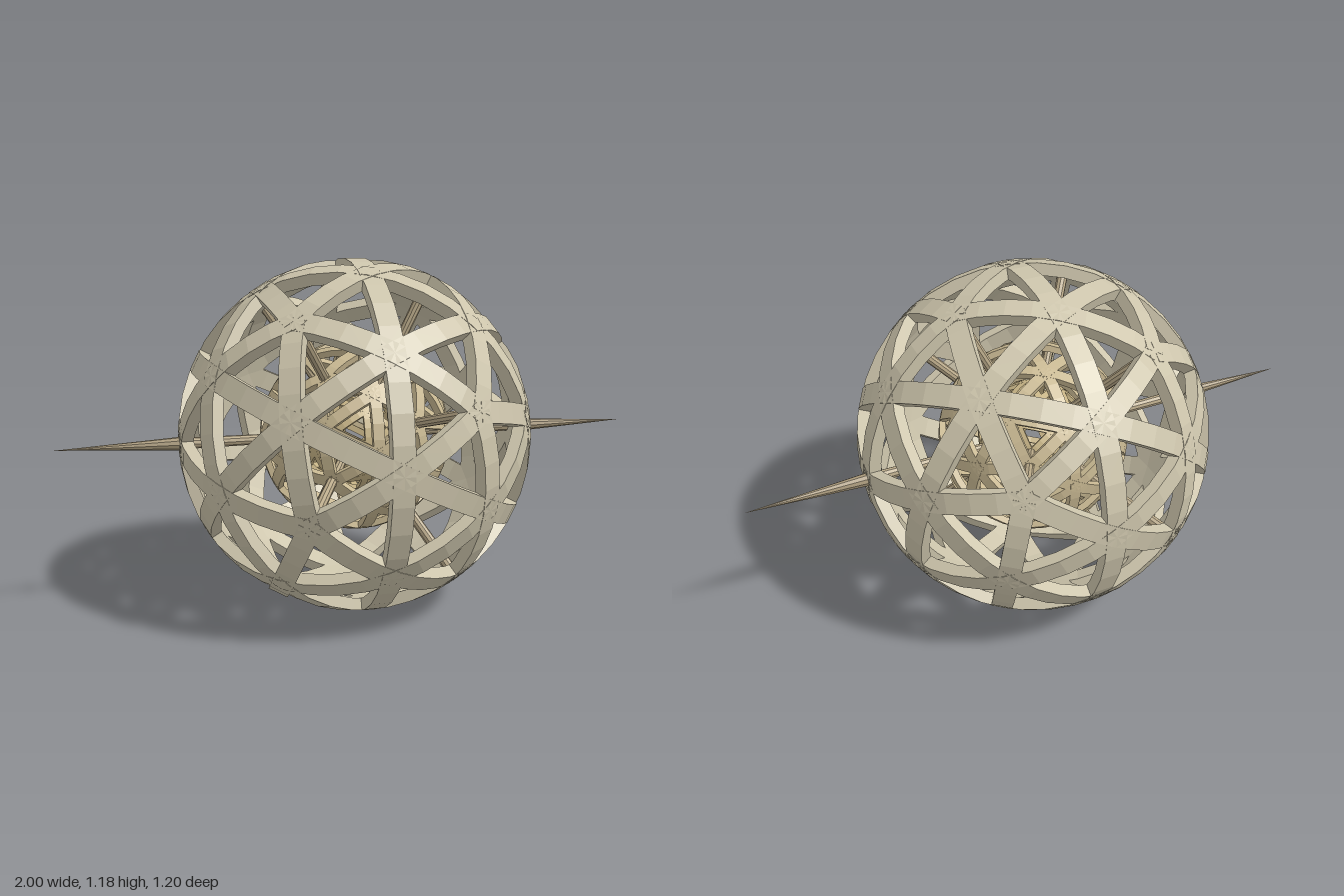
import * as THREE from 'three';
import { mergeGeometries } from 'three/addons/utils/BufferGeometryUtils.js';

const CENTER_Y = 0.578;
const X = new THREE.Vector3(1, 0, 0);

// Twelve icosahedron corners with a five-fold axis along x
function makeCorners() {
  const corners = [X.clone(), X.clone().negate()];
  const c = 1 / Math.sqrt(5), s = 2 / Math.sqrt(5);
  for (let i = 0; i < 5; i++) {
    for (const side of [1, -1]) {
      const a = (i * 2 + (side < 0 ? 1 : 0)) * Math.PI / 5;
      corners.push(new THREE.Vector3(side * c, s * Math.cos(a), s * Math.sin(a)));
    }
  }
  return corners;
}

// Every pair of points closer than the given angle in degrees
function closePairs(points, degrees) {
  const pairs = [];
  points.forEach((a, i) => points.slice(i + 1).forEach((b) => {
    if (a.angleTo(b) < THREE.MathUtils.degToRad(degrees)) pairs.push([a, b]);
  }));
  return pairs;
}

// A box bent along the great circle from a to b
function arcStrut(a, b, radius, width, depth) {
  const geo = new THREE.BoxGeometry(width, depth, 1, 1, 1, 4);
  const pos = geo.attributes.position;
  const axis = a.clone().cross(b).normalize();
  const angle = a.angleTo(b);
  for (let i = 0; i < pos.count; i++) {
    const out = a.clone().applyAxisAngle(axis, (pos.getZ(i) + 0.5) * angle);
    const p = out.multiplyScalar(radius + pos.getY(i) - depth / 2)
      .addScaledVector(axis, pos.getX(i));
    // the base is levelled where it rests on the ground
    pos.setXYZ(i, p.x, Math.max(p.y, -CENTER_Y), p.z);
  }
  geo.computeVertexNormals();
  return geo;
}

// A round bar along a direction, between two distances from the centre
function radialBar(dir, from, to, r0, r1) {
  const geo = new THREE.CylinderGeometry(r1, r0, to - from, 10);
  geo.translate(0, (from + to) / 2, 0);
  geo.applyQuaternion(new THREE.Quaternion().setFromUnitVectors(new THREE.Vector3(0, 1, 0), dir));
  return geo;
}

export function createModel() {
  const group = new THREE.Group();
  const add = (name, parts, color) => {
    const material = new THREE.MeshStandardMaterial({ color, flatShading: true });
    const mesh = new THREE.Mesh(mergeGeometries(parts), material);
    mesh.name = name;
    mesh.position.y = CENTER_Y;
    group.add(mesh);
  };

  const corners = makeCorners();
  const middles = closePairs(corners, 70).map(([a, b]) => a.clone().add(b).normalize());
  const struts = closePairs([...corners, ...middles], 40);

  // Three nested lattice spheres
  const lattice = (name, radius, width, depth, color) =>
    add(name, struts.map(([a, b]) => arcStrut(a, b, radius, width, depth)), color);
  lattice('outerLattice', 0.6, 0.07, 0.04, 0xcdc5ac);
  lattice('middleLattice', 0.325, 0.038, 0.022, 0xc8b892);
  lattice('innerLattice', 0.19, 0.022, 0.013, 0xc8b587);

  // Spokes joining the spheres
  add('spokes', corners.map((d) => radialBar(d, 0.18, 0.58, 0.016, 0.019)), 0xb8a888);

  // Pointed spikes on both ends of the x axis
  add('spikes', [1, -1].map((s) => radialBar(X.clone().multiplyScalar(s), 0.57, 1, 0.024, 0)), 0xa8987a);

  return group;
}
